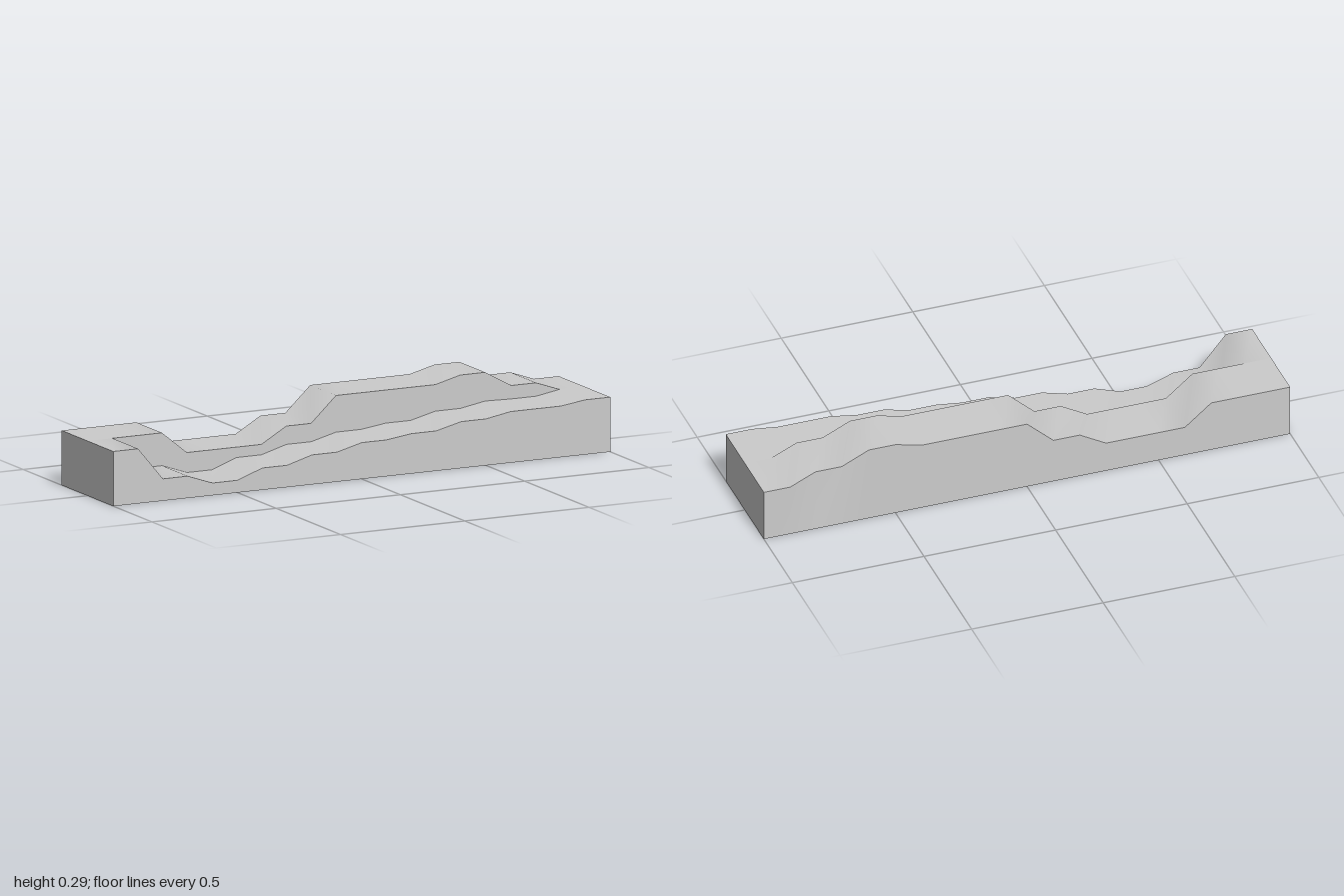
import * as THREE from 'three';
import { mergeVertices } from 'three/addons/utils/BufferGeometryUtils.js';

// Surface heights every 0.1 along x, from -1 to 1
const FRONT = [.2, .2, .08, .08, .045, .045, .08, .08, .108, .108, .133,
  .133, .146, .146, .17, .17, .187, .187, .187, .2, .2];
const BACK = [.2, .2, .2, .2, .118, .118, .118, .118, .175, .175, .267,
  .267, .267, .267, .267, .292, .292, .236, .236, .2, .2];

// Row of points along x; the bulge pushes the two points at x = 0.7 and 0.8 forward
const row = (heights, z, bulge = 0) => heights.map((y, i) =>
  [-1 + i * 0.1, y, z + (i === 17 || i === 18 ? bulge : 0)]);

// Smooth ribbon of quads between two rows of equal length
function ribbon(name, a, b, material) {
  const n = a.length;
  const index = [];
  for (let i = 0; i < n - 1; i++) {
    index.push(i, n + i, i + 1, i + 1, n + i, n + i + 1);
  }
  let geometry = new THREE.BufferGeometry();
  geometry.setAttribute('position', new THREE.Float32BufferAttribute([...a, ...b].flat(), 3));
  geometry.setIndex(index);
  geometry = mergeVertices(geometry, 1e-5);
  geometry.computeVertexNormals();
  const mesh = new THREE.Mesh(geometry, material);
  mesh.name = name;
  return mesh;
}

export function createModel() {
  const group = new THREE.Group();
  group.name = 'terrainBlock';
  const material = new THREE.MeshStandardMaterial({ color: 0xcccccc });
  const add = (name, a, b) => group.add(ribbon(name, a, b, material));

  const ground = FRONT.map(() => 0);
  const frontEdge = row(FRONT, 0.2);
  const frontInner = row(FRONT, 0, 0.011);
  const backInner = row(BACK, 0, 0.011);
  const backEdge = row(BACK, -0.2, 0.011);
  const frontFoot = row(ground, 0.2);
  const backFoot = row(ground, -0.2);

  // Two stepped upper surfaces and the cliff between them
  add('lowerSurface', frontInner, frontEdge);
  add('upperSurface', backEdge, backInner);
  add('cliff', backInner.slice(1, -1), frontInner.slice(1, -1));

  // Outer walls and underside
  add('frontWall', frontEdge, frontFoot);
  add('backWall', backFoot, backEdge);
  add('underside', frontFoot, backFoot);

  // Flat end walls
  for (const side of [1, -1]) {
    const edge = (y) => [0.2, 0, -0.2].map((z) => [side, y, z * side]);
    add(side > 0 ? 'leftEnd' : 'rightEnd', edge(0.2), edge(0));
  }
  return group;
}
